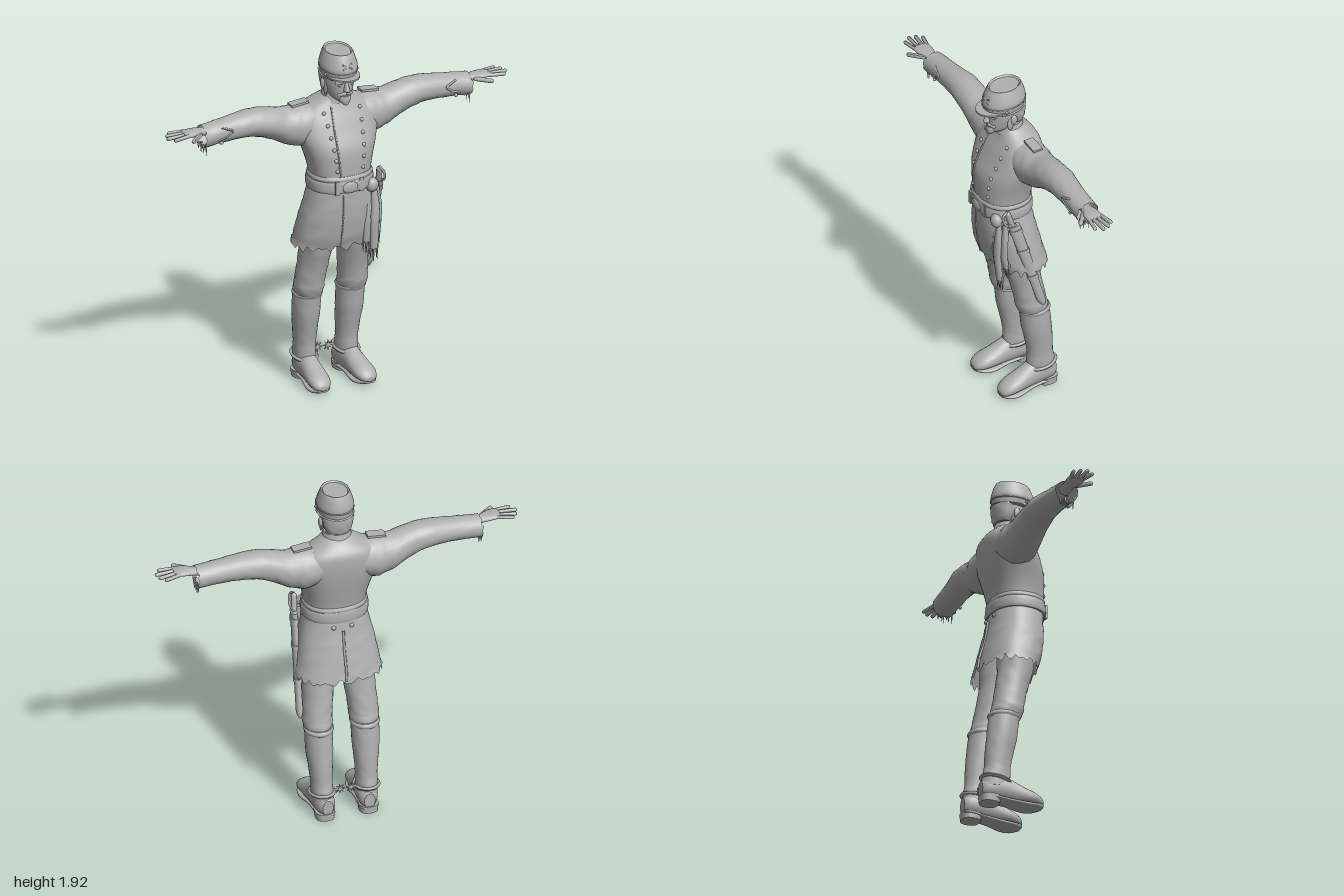
import * as THREE from 'three';

const grey = new THREE.MeshStandardMaterial({ color: 0xb0b0b0, side: THREE.DoubleSide });
grey.name = 'plain grey';

// Section format: [position along axis, centre 1, centre 2, radius 1, radius 2]
const AXES = { y: [1, 0, 2], x: [0, 1, 2], z: [2, 0, 1] };

// Smoothly interpolated section at parameter t (in section units)
function sectionAt(secs, t) {
  const i = Math.min(Math.floor(t), secs.length - 2), f = t - i;
  const p = k => secs[Math.max(0, Math.min(secs.length - 1, k))];
  return secs[i].map((_, c) => {
    const a = p(i - 1)[c], b = p(i)[c], d = p(i + 1)[c], e = p(i + 2)[c];
    return b + 0.5 * f * (d - a + f * (2 * a - 5 * b + 4 * d - e + f * (3 * (b - d) + e - a)));
  });
}

// Loft elliptical sections; hem makes the last ring ragged, fold adds cloth wrinkles
function loft(axis, secs, { segs = 28, sub = 3, power = 2, caps = true, hem = 0, fold = 0 } = {}) {
  const [ip, i1, i2] = AXES[axis], pos = [], idx = [], rings = (secs.length - 1) * sub;
  const flip = (secs[secs.length - 1][0] > secs[0][0]) !== (axis !== 'y');
  const tri = (a, b, c) => flip ? idx.push(a, c, b) : idx.push(a, b, c);
  const put = (p, a, b) => { const v = [0, 0, 0]; v[ip] = p; v[i1] = a; v[i2] = b; pos.push(...v); };
  const ring = r => {
    const s = sectionAt(secs, r / sub);
    for (let k = 0; k < segs; k++) {
      const th = k / segs * Math.PI * 2, c = Math.cos(th), d = Math.sin(th);
      const w = 1 + fold * Math.sin(r * 2.1 + 2 * Math.sin(th * 2 + r)) * Math.sin(th * 3 + r * 0.7);
      const jag = r === rings ? hem * Math.sin(k * 12.9) * Math.sin(k * 4.1 + 1) : 0;
      put(s[0] + jag, s[1] + s[3] * w * Math.sign(c) * Math.abs(c) ** (2 / power),
        s[2] + s[4] * w * Math.sign(d) * Math.abs(d) ** (2 / power));
    }
    return s;
  };
  for (let r = 0; r <= rings; r++) ring(r);
  for (let r = 0; r < rings; r++) for (let k = 0; k < segs; k++) {
    const a = r * segs + k, b = r * segs + (k + 1) % segs;
    tri(a, b, b + segs); tri(a, b + segs, a + segs);
  }
  if (caps) for (const r of [0, rings]) {
    const base = pos.length / 3, s = ring(r);
    put(s[0], s[1], s[2]);
    for (let k = 0; k < segs; k++) {
      const a = base + k, b = base + (k + 1) % segs;
      r ? tri(a, b, base + segs) : tri(b, a, base + segs);
    }
  }
  const g = new THREE.BufferGeometry();
  g.setAttribute('position', new THREE.Float32BufferAttribute(pos, 3));
  g.setIndex(idx);
  g.computeVertexNormals();
  return g;
}

// Outer surface coordinate of a loft at a position and a first cross coordinate
function surf(secs, p, c1, power = 2) {
  const up = secs[1][0] > secs[0][0];
  let i = 0;
  while (i < secs.length - 2 && (up ? secs[i + 1][0] < p : secs[i + 1][0] > p)) i++;
  const s = sectionAt(secs, i + (p - secs[i][0]) / (secs[i + 1][0] - secs[i][0]));
  return s[2] + s[4] * Math.max(0, 1 - Math.abs((c1 - s[1]) / s[3]) ** power) ** (1 / power);
}

// Rounded rod between two points
function rod(a, b, r) {
  const A = new THREE.Vector3(...a), B = new THREE.Vector3(...b), d = B.clone().sub(A);
  const q = new THREE.Quaternion().setFromUnitVectors(new THREE.Vector3(0, 1, 0), d.clone().normalize());
  const g = new THREE.CapsuleGeometry(r, Math.max(0.001, d.length() - 2 * r), 3, 8);
  return g.applyQuaternion(q).translate(...A.add(B).multiplyScalar(0.5).toArray());
}
const tube = (pts, r, n = 20) => new THREE.TubeGeometry(
  new THREE.CatmullRomCurve3(pts.map(p => new THREE.Vector3(...p))), n, r, 6);
const ball = (x, y, z, a, b, c) => new THREE.SphereGeometry(1, 16, 12).scale(a, b, c).translate(x, y, z);

function mirrored(geo) {
  const g = geo.clone().scale(-1, 1, 1);
  const ix = g.index ? Array.from(g.index.array) : [...Array(g.attributes.position.count).keys()];
  for (let i = 0; i < ix.length; i += 3) [ix[i + 1], ix[i + 2]] = [ix[i + 2], ix[i + 1]];
  g.setIndex(ix);
  g.computeVertexNormals();
  return g;
}

export function createModel() {
  const model = new THREE.Group();
  model.name = 'soldier';
  const add = (name, geo) => {
    const m = new THREE.Mesh(geo, grey);
    m.name = name;
    model.add(m);
  };
  const pair = (name, geo) => { add(name + 'Left', geo); add(name + 'Right', mirrored(geo)); };

  // Coat body and skirt
  const torso = [[1.16, 0, .05, .165, .14], [1.24, 0, .052, .165, .138], [1.32, 0, .045, .18, .145],
    [1.4, 0, .032, .205, .149], [1.48, 0, .008, .23, .138], [1.55, 0, -.01, .225, .125],
    [1.6, 0, -.02, .19, .11], [1.64, 0, -.012, .12, .088], [1.67, 0, .005, .075, .065]];
  add('coatBody', loft('y', torso, { segs: 40, power: 2.3 }));
  const skirt = [[1.18, 0, .05, .165, .135], [1.08, 0, .04, .19, .145], [1, 0, .027, .208, .152],
    [.9, 0, .008, .225, .155], [.83, 0, -.012, .237, .15]];
  add('coatSkirt', loft('y', skirt, { segs: 56, power: 2.3, caps: false, hem: .025, fold: .015 }));
  add('frontSeam', tube([1.62, 1.5, 1.4, 1.3, 1.25].map((y, i) =>
    [-.06 - .01 * Math.sin(i), y, surf(torso, y, -.065, 2.3)]), .005));
  add('skirtFrontEdge', tube([1.15, 1.08, 1, .92, .85].map(y => [-.04, y, surf(skirt, y, -.04, 2.3)]), .005));
  add('skirtBackVent', tube([1.12, 1, .92, .84].map(y => {
    const z = surf(skirt, y, 0, 2.3);
    const s = skirt.reduce((a, b) => Math.abs(b[0] - y) < Math.abs(a[0] - y) ? b : a);
    return [0, y, 2 * s[2] - z];
  }), .007));
  for (let i = 0; i < 6; i++) {
    const y = 1.29 + i * .06, x = .075 + i * .006;
    pair('coatButton' + i, ball(x, y, surf(torso, y, x, 2.3), .011, .011, .009));
  }

  // Belt, oval buckle and back buttons
  add('belt', loft('y', [[1.165, 0, .052, .176, .146], [1.18, 0, .052, .18, .149], [1.215, 0, .052, .18, .148],
    [1.23, 0, .052, .175, .145]], { segs: 40, power: 2.3 }));
  add('waistSash', loft('y', [[1.225, 0, .052, .17, .143], [1.24, 0, .052, .175, .147],
    [1.255, 0, .052, .168, .14]], { segs: 40, power: 2.3 }));
  add('buckle', ball(-.01, 1.195, .2, .045, .032, .009));
  for (const x of [-.08, .06]) add('beltLoop', new THREE.BoxGeometry(.025, .075, .012).translate(x, 1.198, .19));
  pair('backButton', ball(.05, 1.14, -.094, .012, .012, .01));

  // Collar and shoulder boards
  add('collar', loft('y', [[1.635, 0, .004, .088, .086], [1.66, 0, .008, .08, .078], [1.695, 0, .01, .073, .07]],
    { caps: false }));
  pair('shoulderBoard', new THREE.BoxGeometry(.1, .012, .055).rotateZ(-.1).translate(.205, 1.634, -.02));

  // Sleeves, cuffs and cuff braid
  const arm = [[.08, 1.53, -.015, .09, .1], [.18, 1.51, -.02, .118, .11], [.25, 1.515, -.02, .11, .1],
    [.3, 1.525, -.02, .1, .095], [.4, 1.562, -.015, .085, .085], [.5, 1.58, -.015, .074, .08],
    [.6, 1.576, -.01, .067, .07], [.7, 1.568, -.008, .063, .065], [.785, 1.56, -.005, .062, .064]];
  pair('sleeve', loft('x', arm, { caps: false, fold: .025, hem: .008 }));
  const braid = [[.69, 1.61], [.66, 1.6], [.63, 1.585], [.66, 1.56], [.71, 1.54]];
  pair('cuffBraid', tube(braid.map(([x, y]) => [x, y, surf(arm, x, y)]), .006));
  pair('cuffButton', ball(.69, 1.525, .045, .01, .01, .01));
  for (let i = 0; i < 6; i++) pair('cuffThread' + i, new THREE.ConeGeometry(.008, .04 + .015 * (i % 3), 4)
    .rotateX(Math.PI).translate(.782 - .008 * (i % 2), 1.495, -.04 + i * .015));

  // Hands
  pair('palm', loft('x', [[.74, 1.585, 0, .026, .032], [.79, 1.594, .003, .021, .032], [.84, 1.6, .01, .019, .045],
    [.885, 1.602, .012, .014, .046], [.9, 1.601, .012, .008, .038]], { segs: 16 }));
  [[-.022, -.045, .965], [.002, -.015, .99], [.025, .022, 1], [.045, .06, .975]].forEach(([z0, z1, x], i) =>
    pair('finger' + i, rod([.87, 1.602, z0], [x, 1.597, z1], .0105)));
  pair('thumb', rod([.8, 1.592, .03], [.885, 1.587, .1], .0125));

  // Neck, head and face
  add('neck', loft('y', [[1.58, 0, 0, .06, .06], [1.66, 0, .01, .058, .058], [1.74, 0, .01, .062, .065]]));
  add('head', loft('y', [[1.652, 0, .09, .025, .035], [1.67, 0, .066, .05, .064], [1.7, 0, .046, .067, .087],
    [1.74, 0, .034, .079, .102], [1.78, 0, .03, .084, .107], [1.83, 0, .03, .084, .106]]));
  add('nose', loft('y', [[1.717, 0, .135, .012, .018], [1.725, 0, .139, .017, .024], [1.75, 0, .134, .011, .018],
    [1.775, 0, .13, .009, .01]], { segs: 12 }));
  add('goatee', loft('y', [[1.64, 0, .125, .012, .014], [1.665, 0, .117, .032, .026], [1.69, 0, .11, .03, .03]],
    { segs: 14 }));
  pair('moustache', rod([0, 1.708, .138], [.042, 1.695, .112], .01));
  pair('eyebrow', rod([.014, 1.768, .133], [.055, 1.766, .113], .007));
  pair('eye', ball(.032, 1.753, .122, .013, .007, .008));
  pair('ear', ball(.085, 1.74, .025, .011, .03, .019));
  pair('sideWhisker', ball(.076, 1.715, .042, .008, .04, .018));
  add('backHair', loft('y', [[1.7, 0, -.02, .062, .046], [1.74, 0, -.015, .079, .063], [1.8, 0, -.012, .086, .07]],
    { fold: .03 }));

  // Field cap: band, crown, sunken top, visor and badge
  const cap = [[1.785, 0, .036, .09, .113], [1.825, 0, .038, .096, .119], [1.85, 0, .038, .098, .12],
    [1.89, 0, .036, .087, .108], [1.918, 0, .035, .077, .096], [1.926, 0, .035, .072, .09],
    [1.918, 0, .035, .064, .082]];
  const tilt = g => {
    const p = g.attributes.position;
    for (let i = 0; i < p.count; i++) p.setY(i, p.getY(i) - .06 * (p.getZ(i) - .035));
    return g;
  };
  add('capCrown', tilt(loft('y', cap, { segs: 32 })));
  for (const y of [1.793, 1.828]) add('capBand', tilt(loft('y', [[y - .005, 0, .037, .093, .116],
    [y, 0, .037, .1, .124], [y + .005, 0, .037, .094, .118]], { segs: 32 })));
  const brim = new THREE.Shape().moveTo(-.093, .05);
  brim.bezierCurveTo(-.095, .25, .095, .25, .093, .05);
  brim.quadraticCurveTo(0, .17, -.093, .05);
  add('capVisor', new THREE.ExtrudeGeometry(brim, { depth: .009, bevelEnabled: false, curveSegments: 16 })
    .rotateX(Math.PI / 2).translate(0, 1.803, 0));
  pair('capBadgeBar', rod([-.028, 1.848, .154], [.028, 1.876, .142], .004));
  pair('capSideButton', ball(.094, 1.81, .075, .008, .008, .008));

  // Trousers, knee folds and boot shafts
  pair('trouserLeg', loft('y', [[1.08, .085, .03, .085, .1], [.92, .105, .01, .095, .105], [.8, .112, -.003, .088, .096],
    [.7, .118, -.025, .083, .088], [.6, .126, -.045, .08, .086], [.55, .128, -.055, .08, .088],
    [.5, .126, -.07, .068, .078]], { fold: .03 }));
  pair('bootShaft', loft('y', [[.53, .126, -.07, .076, .084], [.5, .127, -.073, .075, .083],
    [.4, .128, -.085, .073, .083], [.3, .126, -.1, .064, .077], [.22, .124, -.108, .058, .072],
    [.17, .123, -.113, .058, .078], [.1, .122, -.118, .056, .08]], { fold: .018 }));
  pair('bootTopRim', loft('y', [[.505, .127, -.072, .074, .082], [.52, .127, -.071, .081, .09],
    [.535, .126, -.07, .074, .082]]));

  // Feet with soles and heels, toes turned slightly outward
  const turn = g => {
    const p = g.attributes.position;
    for (let i = 0; i < p.count; i++) p.setX(i, p.getX(i) + .07 * (p.getZ(i) + .1));
    return g;
  };
  pair('bootFoot', turn(loft('z', [[-.2, .122, .085, .03, .045], [-.17, .122, .09, .05, .062],
    [-.1, .122, .1, .057, .078], [-.03, .121, .09, .056, .07], [.03, .12, .075, .06, .055],
    [.09, .12, .064, .06, .042], [.13, .12, .052, .044, .028], [.145, .12, .046, .02, .012]], { segs: 20 })));
  pair('bootSole', turn(loft('z', [[-.2, .122, .043, .035, .01], [-.16, .122, .04, .053, .01],
    [-.05, .121, .033, .05, .011], [.04, .12, .022, .062, .013], [.1, .12, .024, .057, .013],
    [.14, .12, .033, .03, .012]], { segs: 20, power: 3 })));
  pair('bootHeel', loft('y', [[.008, .12, -.152, .05, .052], [.05, .121, -.15, .053, .056]], { power: 2.6, sub: 1 }));

  // Spurs
  pair('spurStrap', new THREE.TorusGeometry(.072, .009, 6, 28).scale(.9, 1.15, 1).rotateX(Math.PI / 2 + .15)
    .translate(.123, .145, -.115));
  pair('spurArm', rod([.08, .155, -.14], [.035, .155, -.14], .006));
  const star = new THREE.Shape();
  for (let i = 0; i < 16; i++) {
    const r = i % 2 ? .011 : .03, a = i * Math.PI / 8;
    star[i ? 'lineTo' : 'moveTo'](r * Math.cos(a), r * Math.sin(a));
  }
  pair('spurWheel', new THREE.ExtrudeGeometry(star, { depth: .008, bevelEnabled: false }).translate(.032, .155, -.144));

  // Sword in scabbard on the left hip
  const sword = (y, grow = 0) => {
    const t = (1.16 - y) / .56;
    return [y, .208 + .02 * t, .1 - .165 * t, .018 + grow, .036 - .012 * t + grow];
  };
  add('scabbard', loft('y', [1.16, 1, .85, .7, .63].map(y => sword(y)).concat([[.6, .228, -.068, .008, .012]]),
    { segs: 16 }));
  for (const y of [1.12, .98, .8]) add('scabbardBand', loft('y', [sword(y + .012, .004), sword(y - .012, .004)],
    { segs: 16, sub: 1 }));
  add('swordGrip', rod([.205, 1.13, .1], [.195, 1.25, .135], .017));
  add('swordGuard', tube([[.21, 1.16, .09], [.215, 1.18, .15], [.205, 1.23, .165], [.195, 1.25, .135]], .007));

  // Hanging sash ends with fringe
  add('sashKnot', ball(.135, 1.17, .165, .036, .04, .03));
  [[.115, .14, .84], [.15, .155, .8], [.175, .13, .88]].forEach(([x, z, end], i) => {
    add('sashTail' + i, loft('y', [[1.17, x, z, .014, .012], [1.05, x + .004, z + .01, .024, .018],
      [.95, x, z + .012, .026, .018], [end, x + .004, z, .022, .016]], { segs: 14, fold: .1 }));
    for (let k = 0; k < 5; k++) add('sashFringe', new THREE.ConeGeometry(.009, .08 + .02 * (k % 3), 5)
      .rotateX(Math.PI).translate(x - .016 + k * .01, end - .025, z + .012 * (k % 2 - .5)));
  });
  return model;
}
